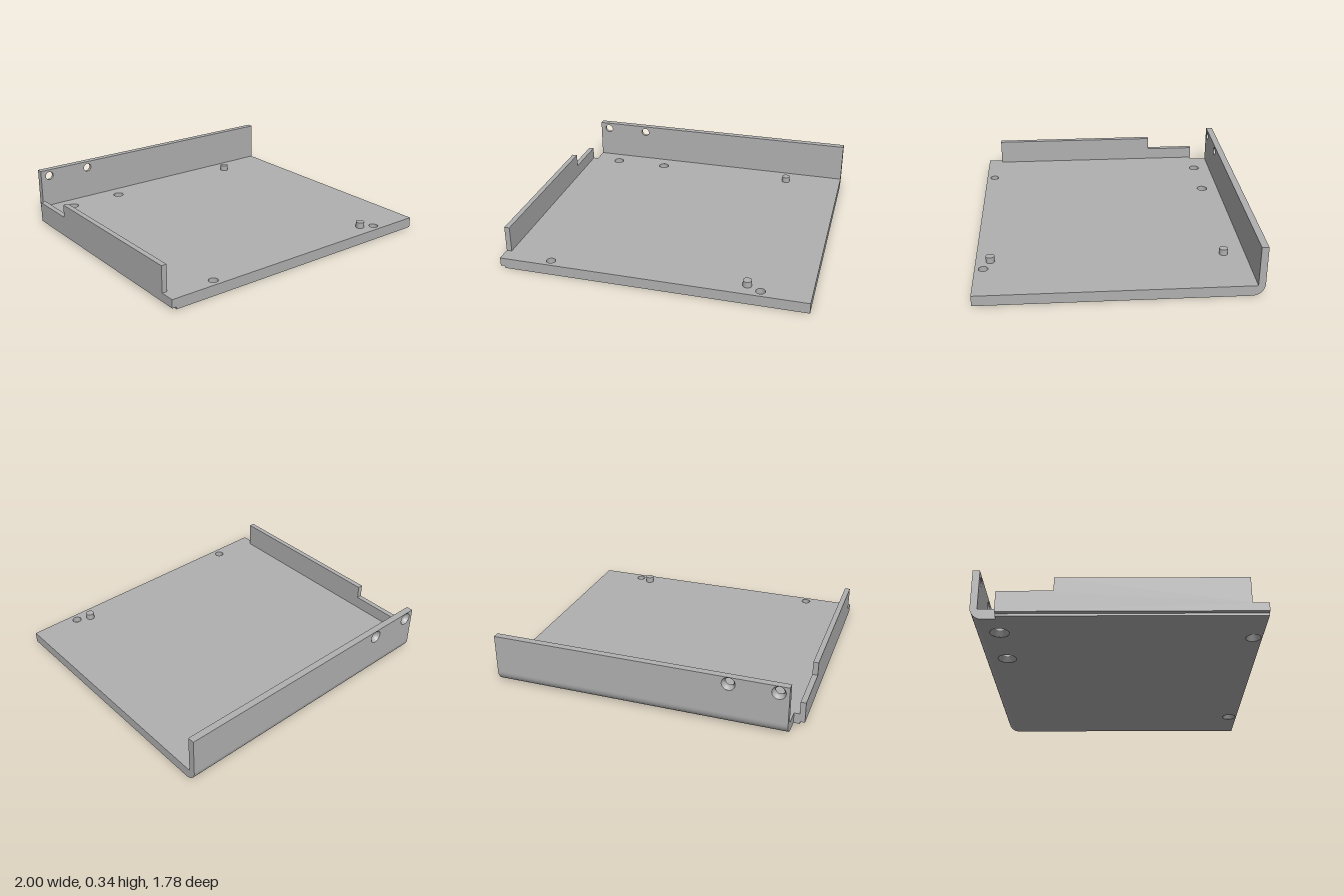
import * as THREE from 'three';
import { toCreasedNormals } from 'three/addons/utils/BufferGeometryUtils.js';

const grey = new THREE.MeshStandardMaterial({ color: 0xb0b0b0, side: THREE.DoubleSide });
grey.name = 'grey metal';

const toShape = (points) => new THREE.Shape(points.map(([x, y]) => new THREE.Vector2(x, y)));

function addMesh(parent, name, geometry) {
  const mesh = new THREE.Mesh(geometry, grey);
  mesh.name = name;
  parent.add(mesh);
  return mesh;
}

// Sheet in the XY plane, z = 0..t. Each hole [x, y, r, sinkRadius] is countersunk at z = 0.
function sheet(name, outline, holes, t) {
  const group = new THREE.Group();
  group.name = name;

  const face = (radiusIndex) => {
    const shape = toShape(outline);
    for (const h of holes) {
      shape.holes.push(new THREE.Path().absarc(h[0], h[1], h[radiusIndex], 0, Math.PI * 2, true));
    }
    return new THREE.ShapeGeometry(shape, 24);
  };
  addMesh(group, name + 'Inside', face(2)).position.z = t;
  // outer face turned over to look along -z
  const outer = face(3);
  const index = outer.index.array;
  for (let i = 0; i < index.length; i += 3) [index[i], index[i + 1]] = [index[i + 1], index[i]];
  outer.computeVertexNormals();
  addMesh(group, name + 'Outside', outer);

  // rim around the outline
  outline.forEach(([x0, y0], i) => {
    const [x1, y1] = outline[(i + 1) % outline.length];
    const edge = addMesh(group, name + 'Edge', new THREE.PlaneGeometry(Math.hypot(x1 - x0, y1 - y0), t));
    edge.geometry.rotateX(Math.PI / 2);
    edge.position.set((x0 + x1) / 2, (y0 + y1) / 2, t / 2);
    edge.rotation.z = Math.atan2(y1 - y0, x1 - x0);
  });

  // hole linings: cone, then straight bore
  const sink = t * 0.5;
  for (const [x, y, r, rSink] of holes) {
    const cone = new THREE.CylinderGeometry(r, rSink, sink, 32, 1, true).rotateX(Math.PI / 2);
    const bore = new THREE.CylinderGeometry(r, r, t - sink, 32, 1, true).rotateX(Math.PI / 2);
    addMesh(group, 'countersink', cone).position.set(x, y, sink / 2);
    addMesh(group, 'bore', bore).position.set(x, y, (t + sink) / 2);
  }
  return group;
}

// Section drawn as (-z, y), extruded along x from x0 to x1
function alongX(parent, name, shape, x0, x1) {
  const g = new THREE.ExtrudeGeometry(shape, { depth: x1 - x0, bevelEnabled: false, curveSegments: 16 });
  const mesh = addMesh(parent, name, toCreasedNormals(g, 0.4));
  mesh.rotation.y = Math.PI / 2;
  mesh.position.x = x0;
}

export function createModel() {
  const model = new THREE.Group();
  model.name = 'bracketTray';
  const T = 0.07;       // floor thickness
  const bendZ = 0.81;   // where the rear bend starts

  // Floor with a cut rear corner; outline is (x, -z)
  const floor = sheet('floor',
    [[-0.97, -0.89], [1, -0.89], [1, bendZ], [-0.93, bendZ], [-0.93, 0.73], [-0.97, 0.73]],
    [[-0.75, 0.73, 0.036, 0.06], [-0.375, 0.73, 0.036, 0.06],
      [-0.67, -0.835, 0.03, 0.048], [0.69, -0.835, 0.03, 0.048]], T);
  floor.rotation.x = -Math.PI / 2;
  model.add(floor);

  // Raised strip along the right edge, stepped up from the underside
  const strip = addMesh(model, 'edgeStrip', new THREE.BoxGeometry(0.03, T - 0.015, 1.62));
  strip.position.set(-0.985, (T + 0.015) / 2, 0.08);

  // Rounded bend joining floor and rear wall
  const bend = new THREE.Shape();
  bend.moveTo(bendZ, 0);
  bend.absarc(bendZ, 0.08, 0.08, -Math.PI / 2, 0, false);
  bend.lineTo(0.845, 0.08);
  bend.lineTo(0.845, T);
  bend.lineTo(bendZ, T);
  alongX(model, 'rearBend', bend, -0.93, 1);

  // Rear wall with two countersunk holes
  const wall = sheet('rearWall',
    [[-0.93, 0.08], [1, 0.08], [1, 0.335], [-0.93, 0.335]],
    [[-0.865, 0.29, 0.029, 0.043], [-0.56, 0.29, 0.029, 0.043]], 0.045);
  wall.position.z = -0.89;
  model.add(wall);

  // Stepped side lip
  alongX(model, 'sideLip', toShape([[-0.79, T], [0.73, T], [0.73, 0.153],
    [0.385, 0.153], [0.385, 0.242], [-0.79, 0.242]]), -1, -0.965);

  // Locating pins
  for (const z of [-0.705, 0.795]) {
    addMesh(model, 'pin', new THREE.CylinderGeometry(0.028, 0.028, 0.04, 32)).position.set(0.6, T + 0.02, z);
  }
  return model;
}
